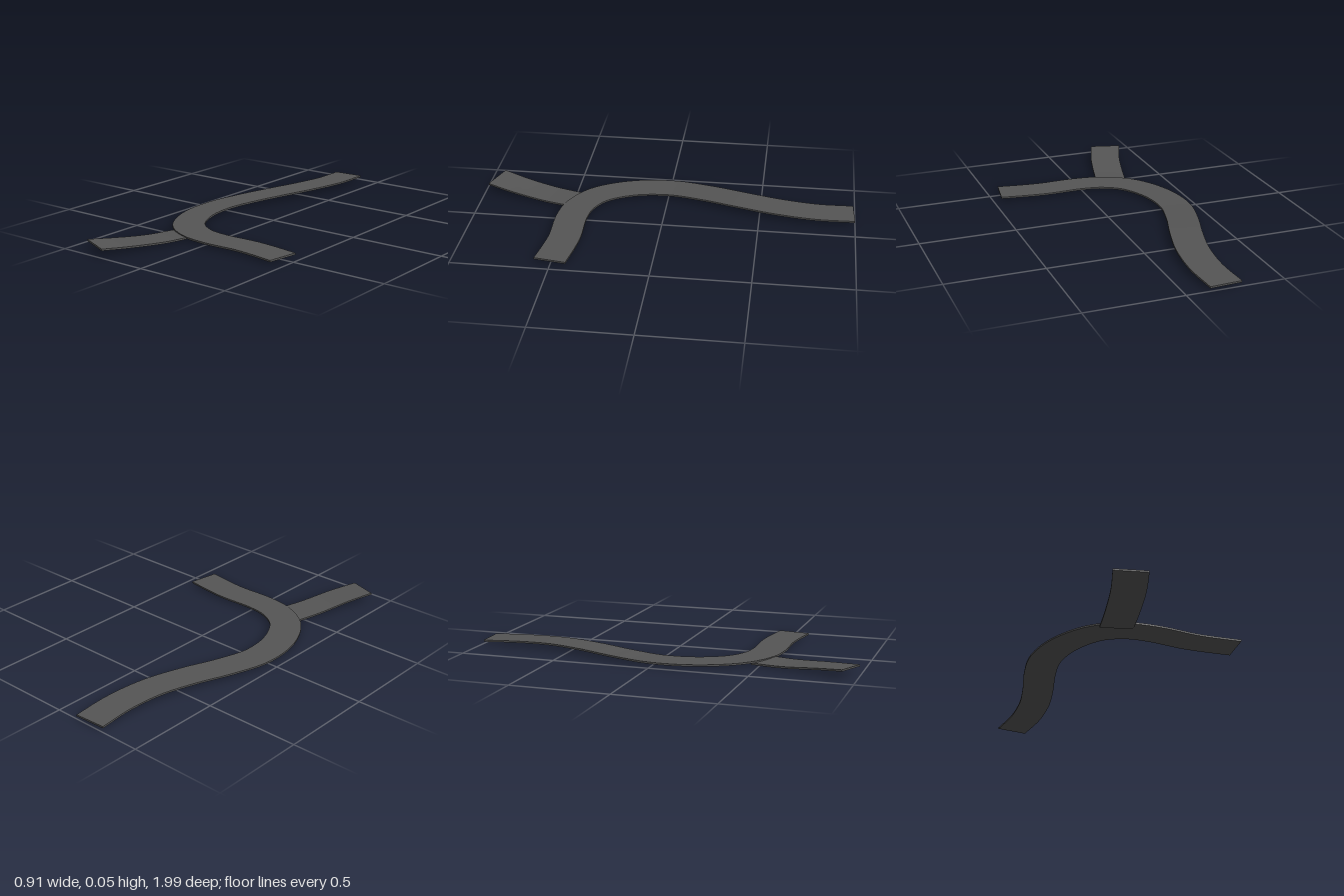
import * as THREE from 'three';
import { toCreasedNormals } from 'three/addons/utils/BufferGeometryUtils.js';

const WIDTH = 0.165;
const THICKNESS = 0.009;

// Sweeps a thin rectangular section along a path of top-surface centre points.
// bank(t) is the height added to the right edge and taken from the left edge.
function ribbon(points, segments, bank = () => 0) {
  const curve = new THREE.CatmullRomCurve3(points.map((p) => new THREE.Vector3(...p)));
  const up = new THREE.Vector3(0, 1, 0);
  const positions = [];
  const index = [];
  for (let i = 0; i <= segments; i++) {
    const t = i / segments;
    const p = curve.getPointAt(t);
    const side = curve.getTangentAt(t).cross(up).setY(0).normalize().multiplyScalar(WIDTH / 2);
    for (const [s, drop] of [[-1, 0], [1, 0], [1, THICKNESS], [-1, THICKNESS]]) {
      positions.push(p.x + s * side.x, p.y + s * bank(t) - drop, p.z + s * side.z);
    }
    if (i === segments) continue;
    for (let k = 0; k < 4; k++) {
      const a = i * 4 + k;
      const b = i * 4 + ((k + 1) % 4);
      index.push(a, b, b + 4, a, b + 4, a + 4);
    }
  }
  // End caps
  const n = segments * 4;
  index.push(0, 3, 2, 0, 2, 1, n, n + 1, n + 2, n, n + 2, n + 3);
  const geometry = new THREE.BufferGeometry();
  geometry.setAttribute('position', new THREE.Float32BufferAttribute(positions, 3));
  geometry.setIndex(index);
  return toCreasedNormals(geometry, Math.PI / 5);
}

export function createModel() {
  const group = new THREE.Group();
  group.name = 'roadJunction';
  const asphalt = new THREE.MeshStandardMaterial({ color: 0x555555 });
  asphalt.name = 'asphalt grey';

  // Long S-shaped road that hooks round to the left side
  const mainRoad = new THREE.Mesh(ribbon([
    [-0.202, 0.023, -0.995],
    [-0.191, 0.028, -0.8],
    [-0.212, 0.033, -0.6],
    [-0.266, 0.032, -0.4],
    [-0.332, 0.026, -0.2],
    [-0.375, 0.02, 0],
    [-0.351, 0.018, 0.2],
    [-0.257, 0.018, 0.373],
    [-0.13, 0.018, 0.454],
    [0, 0.018, 0.477],
    [0.2, 0.018, 0.474],
    [0.32, 0.018, 0.486],
    [0.443, 0.018, 0.505],
  ], 80), asphalt);
  mainRoad.name = 'mainRoad';

  // Side road that emerges from under the bend and climbs toward the front
  const sideRoad = new THREE.Mesh(ribbon([
    [-0.195, 0.012, 0.475],
    [-0.234, 0.014, 0.63],
    [-0.284, 0.029, 0.81],
    [-0.34, 0.043, 0.958],
  ], 24, (t) => 0.003 * (2 * t - 1)), asphalt);
  sideRoad.name = 'sideRoad';

  group.add(mainRoad, sideRoad);
  return group;
}
